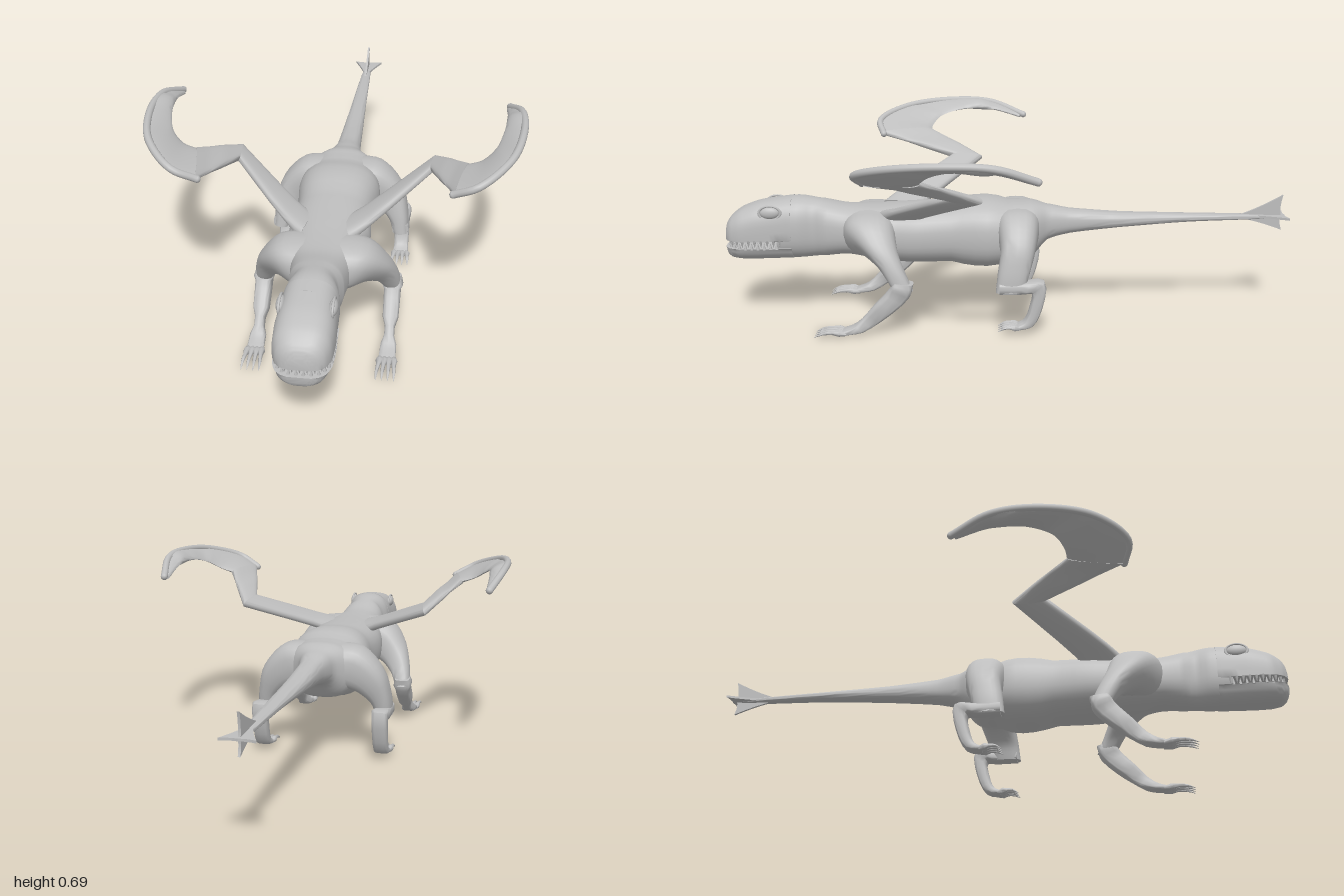
import * as THREE from 'three';
import { toCreasedNormals } from 'three/addons/utils/BufferGeometryUtils.js';

const V = (a) => new THREE.Vector3(...a);

export function createModel() {
  const model = new THREE.Group();
  const skin = new THREE.MeshStandardMaterial({ color: 0xbebebe });
  skin.name = 'greySkin';
  const thin = skin;

  function add(name, geo, parent = model) {
    const mesh = new THREE.Mesh(geo, thin);
    mesh.name = name;
    parent.add(mesh);
    return mesh;
  }

  // Skin over stations [centre, half axis u, half axis v], with optional side and y limits
  function loft(stations, { side = 1, power = 2, steps = 4, n = 24, yMin = -9, yMax = 9, crease = 0.8 } = {}) {
    const chan = [0, 1, 2].map((k) => {
      const pts = stations.map((s) => V(s[k]).multiply(new THREE.Vector3(side, 1, 1)));
      return new THREE.CatmullRomCurve3(pts);
    });
    const rows = (stations.length - 1) * steps;
    const pos = [], idx = [];
    const sp = (x) => Math.sign(x) * Math.pow(Math.abs(x), 2 / power);
    for (let i = 0; i <= rows; i++) {
      const [c, u, v] = chan.map((q) => q.getPoint(i / rows));
      for (let j = 0; j < n; j++) {
        const a = (j / n) * Math.PI * 2;
        const p = c.clone().addScaledVector(u, sp(Math.cos(a))).addScaledVector(v, sp(Math.sin(a)));
        pos.push(p.x, Math.min(yMax, Math.max(yMin, p.y)), p.z);
      }
    }
    const [c0, u0, v0] = chan.map((q) => q.getPoint(0));
    const flip = u0.clone().cross(v0).dot(chan[0].getPoint(1 / rows).sub(c0)) < 0;
    const tri = (a, b, c) => (flip ? idx.push(a, c, b) : idx.push(a, b, c));
    for (let i = 0; i < rows; i++) {
      for (let j = 0; j < n; j++) {
        const k = (j + 1) % n, a = i * n, b = a + n;
        tri(a + j, a + k, b + k);
        tri(a + j, b + k, b + j);
      }
    }
    for (let j = 1; j < n - 1; j++) {
      tri(0, j + 1, j);
      tri(rows * n, rows * n + j, rows * n + j + 1);
    }
    const g = new THREE.BufferGeometry();
    g.setAttribute('position', new THREE.Float32BufferAttribute(pos, 3));
    g.setIndex(idx);
    return toCreasedNormals(g, crease);
  }

  // Cross-section facing z: [z, top, bottom, half width]
  const slice = ([z, top, bot, w]) => [[0, (top + bot) / 2, z], [w, 0, 0], [0, (top - bot) / 2, 0]];
  // Flat section between two edge points
  const strip = ([a, b, t]) => [
    a.map((x, i) => (x + b[i]) / 2), a.map((x, i) => (x - b[i]) / 2), [-t * 0.4, t, 0]];

  // Body from neck to tail end
  add('body', loft([
    [0.81, 0.437, 0.222, 0.085], [0.74, 0.444, 0.222, 0.085], [0.65, 0.43, 0.228, 0.085],
    [0.56, 0.412, 0.235, 0.095], [0.47, 0.41, 0.222, 0.125], [0.38, 0.413, 0.21, 0.128],
    [0.2, 0.42, 0.208, 0.128], [0, 0.42, 0.208, 0.128], [-0.08, 0.42, 0.222, 0.115],
    [-0.14, 0.405, 0.28, 0.062], [-0.22, 0.39, 0.302, 0.044], [-0.4, 0.376, 0.322, 0.036],
    [-0.65, 0.369, 0.34, 0.026], [-0.87, 0.364, 0.346, 0.018], [-0.96, 0.36, 0.35, 0.008],
  ].map(slice), { power: 2.5, n: 36, steps: 5 }));

  // Head split into skull and lower jaw
  const head = [
    [0.76, 0.443, 0.222, 0.085], [0.82, 0.435, 0.221, 0.087], [0.88, 0.425, 0.22, 0.09], [0.94, 0.403, 0.221, 0.087],
    [0.975, 0.378, 0.226, 0.073], [0.99, 0.357, 0.236, 0.055], [0.997, 0.335, 0.25, 0.035],
  ].map(slice);
  add('skull', loft(head, { power: 2.8, n: 40, yMin: 0.298 }));
  add('lowerJaw', loft(head, { power: 2.8, n: 40, yMax: 0.272 }));

  // Teeth along the jaw line
  const gum = new THREE.CatmullRomCurve3([[-0.08, 0, 0.8], [-0.084, 0, 0.88], [-0.077, 0, 0.945],
    [-0.05, 0, 0.977], [0, 0, 0.984], [0.05, 0, 0.977], [0.077, 0, 0.945], [0.084, 0, 0.88], [0.08, 0, 0.8]].map(V));
  const teeth = new THREE.Group();
  teeth.name = 'teeth';
  model.add(teeth);
  const COUNT = 44;
  for (let i = 0; i <= COUNT; i++) {
    const p = gum.getPointAt(i / COUNT);
    const up = i % 2;
    const tooth = add(up ? 'lowerTooth' : 'upperTooth', new THREE.ConeGeometry(0.0065, 0.026, 6), teeth);
    tooth.position.set(p.x, up ? 0.282 : 0.288, p.z);
    if (!up) tooth.rotation.x = Math.PI;
  }

  for (const side of [1, -1]) {
    const tag = side > 0 ? 'left' : 'right';

    // Eye with a raised rim
    const eye = add(tag + 'Eye', new THREE.SphereGeometry(1, 20, 14));
    eye.scale.set(0.014, 0.021, 0.034);
    eye.position.set(side * 0.077, 0.4, 0.83);
    const rim = add(tag + 'EyeRim', new THREE.TorusGeometry(1, 0.14, 8, 28));
    rim.rotation.y = Math.PI / 2;
    rim.scale.set(0.037, 0.025, 0.03);
    rim.position.set(side * 0.078, 0.4, 0.83);

    // Front leg
    add(tag + 'FrontThigh', loft([
      [[0.04, 0.325, 0.485], [0, 0, 0.1], [0.01, 0.08, 0]],
      [[0.11, 0.318, 0.48], [0, 0, 0.088], [0.035, 0.072, 0]],
      [[0.165, 0.28, 0.445], [0, 0.01, 0.065], [0.04, 0.04, 0]],
      [[0.2, 0.225, 0.4], [0, 0.01, 0.046], [0.034, 0.018, 0]],
      [[0.217, 0.165, 0.365], [0, 0.004, 0.036], [0.028, 0.004, 0]],
    ], { side, power: 2.6 }));
    add(tag + 'FrontShin', loft([
      [[0.217, 0.19, 0.362], [0, 0.004, 0.034], [0.028, 0, 0]],
      [[0.217, 0.155, 0.375], [0, 0.014, 0.034], [0.028, 0, 0]],
      [[0.217, 0.085, 0.445], [0, 0.02, 0.022], [0.026, 0, 0]],
      [[0.217, 0.028, 0.515], [0, 0.013, 0.013], [0.026, 0, 0]],
      [[0.217, 0.013, 0.575], [0, 0.008, 0.001], [0.028, 0, 0]],
    ], { side, power: 4, steps: 3 }));

    // Hind leg
    add(tag + 'HindThigh', loft([
      [[0.04, 0.325, -0.03], [0, 0, 0.085], [0.01, 0.085, 0]],
      [[0.11, 0.325, -0.032], [0, 0, 0.072], [0.03, 0.075, 0]],
      [[0.17, 0.28, -0.03], [0, 0, 0.06], [0.045, 0.04, 0]],
      [[0.205, 0.215, -0.015], [0, 0, 0.055], [0.034, 0.015, 0]],
      [[0.217, 0.152, -0.003], [0, 0, 0.05], [0.028, 0.002, 0]],
    ], { side, power: 2.8 }));
    add(tag + 'HindShin', loft([
      [[0.217, 0.168, 0.035], [0, 0.02, 0], [0.028, 0, 0]],
      [[0.217, 0.168, -0.04], [0, 0.02, 0], [0.028, 0, 0]],
      [[0.217, 0.17, -0.098], [0, 0.02, -0.022], [0.028, 0, 0]],
      [[0.217, 0.1, -0.092], [0, 0, -0.022], [0.027, 0, 0]],
      [[0.217, 0.04, -0.065], [0, -0.009, -0.015], [0.026, 0, 0]],
      [[0.217, 0.026, -0.025], [0, -0.008, 0], [0.028, 0, 0]],
    ], { side, power: 4, steps: 3 }));

    // Toes, four to each foot
    for (const [name, z, y, len] of [['FrontToe', 0.56, 0.012, 0.11], ['HindToe', -0.035, 0.026, 0.075]]) {
      for (let i = 0; i < 4; i++) {
        const f = (i - 1.5) / 1.5, x = 0.217 + f * 0.021;
        add(tag + name, loft([
          [[x, y, z], [0.007, 0, 0], [0, 0.007, 0]],
          [[x + f * 0.004, y + 0.006, z + len * 0.45], [0.007, 0, 0], [0, 0.007, 0]],
          [[x + f * 0.007, y + 0.003, z + len * 0.75], [0.005, 0, 0], [0, 0.005, 0]],
          [[x + f * 0.008, y - 0.008, z + len], [0.001, 0, 0], [0, 0.001, 0]],
        ], { side, n: 8, steps: 2 }));
      }
    }

    // Wing: two arm segments, curved blade and its thick leading edge
    const elbow = [[0.335, 0.505, 0.09], [0.322, 0.515, 0.205], 0.014];
    const wrist = [[0.445, 0.592, 0.285], [0.405, 0.585, 0.475], 0.013];
    add(tag + 'WingUpperArm', loft([
      [[0.06, 0.378, 0.315], [0.08, 0.39, 0.45], 0.022],
      [[0.12, 0.405, 0.275], [0.145, 0.422, 0.395], 0.016], elbow,
    ].map(strip), { side, power: 3, n: 20, steps: 3 }));
    add(tag + 'WingForearm', loft([elbow,
      [[0.39, 0.55, 0.185], [0.36, 0.55, 0.335], 0.013], wrist,
    ].map(strip), { side, power: 3, n: 20, steps: 3 }));
    const blade = [wrist,
      [[0.485, 0.605, 0.28], [0.48, 0.625, 0.492], 0.01],
      [[0.525, 0.632, 0.25], [0.575, 0.665, 0.39], 0.009],
      [[0.553, 0.655, 0.16], [0.618, 0.682, 0.22], 0.009],
      [[0.564, 0.652, 0.05], [0.617, 0.674, 0.06], 0.009],
      [[0.565, 0.62, -0.06], [0.583, 0.627, -0.07], 0.006],
    ];
    add(tag + 'WingBlade', loft(blade.map(strip), { side, n: 20, steps: 6 }));
    const edge = new THREE.CatmullRomCurve3(blade.map((s) => V([side * (s[1][0] - 0.006), s[1][1], s[1][2] - 0.006])));
    add(tag + 'WingLeadingEdge', new THREE.TubeGeometry(edge, 40, 0.0125, 10));
    for (const p of [edge.getPoint(0), edge.getPoint(1)]) {
      add(tag + 'WingEdgeEnd', new THREE.SphereGeometry(0.0125, 12, 8)).position.copy(p);
    }
  }

  // Four tail fins: each spreads outward from the tail end
  function fin(name, angle, reach, start, tip) {
    const s = new THREE.Shape();
    s.moveTo(start, 0);
    s.lineTo(start, 0.008);
    s.quadraticCurveTo((start + tip) / 2, reach * 0.45, tip, reach);
    s.quadraticCurveTo(tip - 0.012, reach * 0.4, tip - 0.005, 0);
    const g = new THREE.ExtrudeGeometry(s, { depth: 0.008, bevelEnabled: false, curveSegments: 8 });
    g.translate(0, 0, -0.004);
    g.rotateY(Math.PI / 2);
    const mesh = add(name, g);
    mesh.rotation.z = angle;
    mesh.position.y = 0.357;
  }
  fin('upperTailFin', 0, 0.077, 0.84, 0.985);
  fin('lowerTailFin', Math.PI, 0.052, 0.84, 0.985);
  fin('leftTailFin', -Math.PI / 2, 0.055, 0.88, 1);
  fin('rightTailFin', Math.PI / 2, 0.055, 0.88, 1);

  return model;
}
